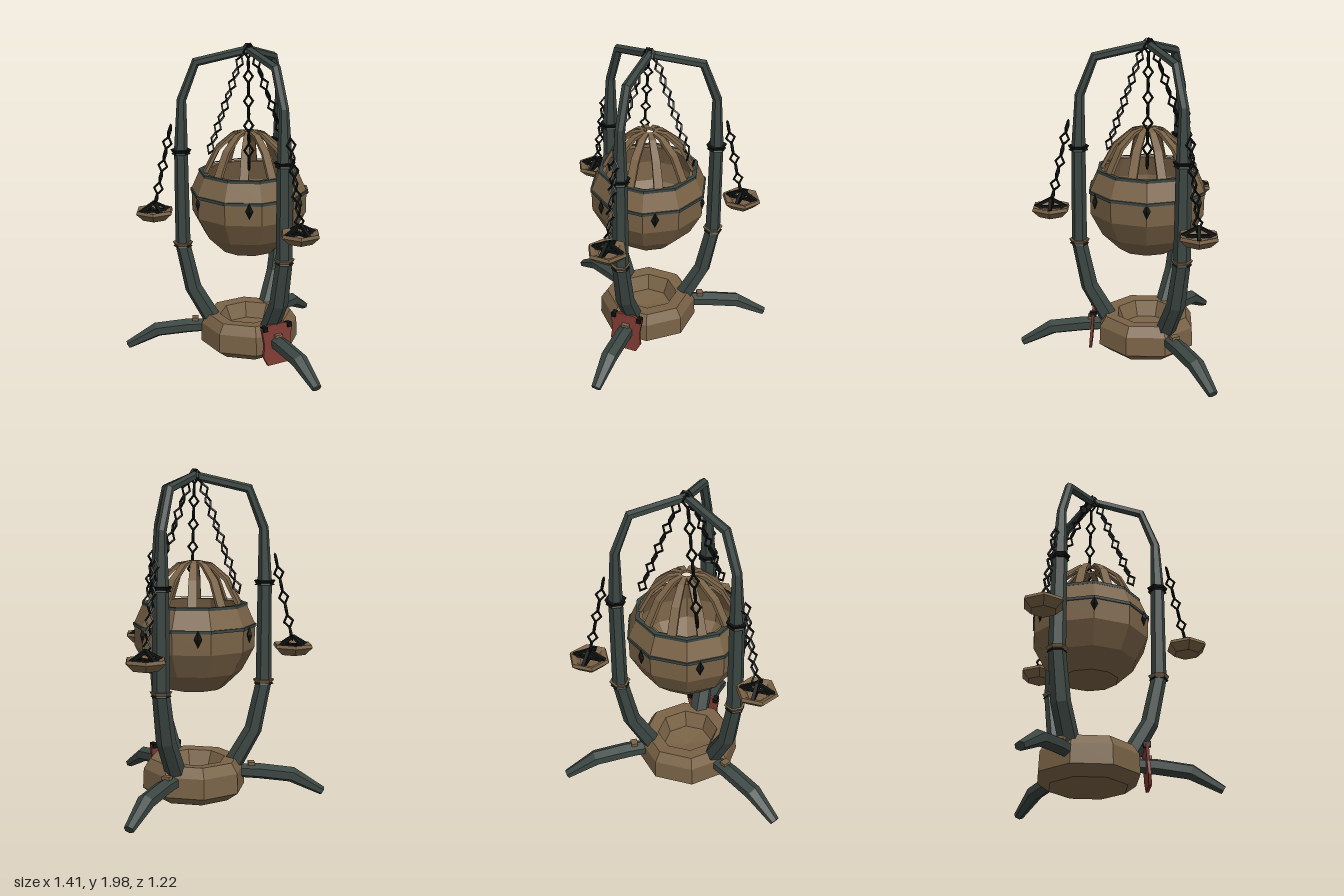
import * as THREE from 'three';
import { mergeGeometries } from 'three/addons/utils/BufferGeometryUtils.js';

const mat = (name, color) => {
  const m = new THREE.MeshStandardMaterial({ color, flatShading: true });
  m.name = name;
  return m;
};
const TAU = Math.PI * 2;
const deg = Math.PI / 180;
const THIRDS = [0, 120, 240];

// Sweeps a cross-section through stations [r, y, width, thickness] in the z-y plane
function loft(stations, sides = 6) {
  const pts = stations.map(([r, y]) => new THREE.Vector2(r, y));
  const turn = sides === 4 ? Math.PI / 4 : Math.PI / 2;
  const grow = sides === 4 ? Math.SQRT1_2 : 0.53;
  const pos = [];
  const idx = [];
  stations.forEach(([r, y, w, t], i) => {
    const tan = pts[Math.min(i + 1, pts.length - 1)].clone().sub(pts[Math.max(i - 1, 0)]).normalize();
    for (let k = 0; k < sides; k++) {
      const a = turn + k / sides * TAU;
      const n = Math.sin(a) * t * grow;
      pos.push(Math.cos(a) * w * grow, y + tan.x * n, r - tan.y * n);
    }
  });
  const last = (stations.length - 1) * sides;
  for (let i = 0; i < last; i += sides) {
    for (let k = 0; k < sides; k++) {
      const j = (k + 1) % sides;
      idx.push(i + k, i + j, i + sides + j, i + k, i + sides + j, i + sides + k);
    }
  }
  for (let k = 1; k < sides - 1; k++) idx.push(0, k + 1, k, last, last + k, last + k + 1);
  const g = new THREE.BufferGeometry();
  g.setAttribute('position', new THREE.Float32BufferAttribute(pos, 3));
  g.setIndex(idx);
  g.computeVertexNormals();
  return g;
}

const lathe = (profile, sides, phi = 0) =>
  new THREE.LatheGeometry(profile.map(([r, y]) => new THREE.Vector2(r, y)), sides, phi);

const band = (r, y, h, sides, phi) =>
  lathe([[r - 0.02, y - h], [r + 0.007, y - h], [r + 0.007, y + h], [r - 0.02, y + h]], sides, phi);

// Diamond links between two points, each turned a quarter from the last
function chain(from, to, count) {
  const dir = to.clone().sub(from);
  const pitch = dir.length() / count;
  const q = new THREE.Quaternion().setFromUnitVectors(new THREE.Vector3(0, 1, 0), dir.clone().normalize());
  const links = [];
  for (let i = 0; i < count; i++) {
    const g = new THREE.TorusGeometry(0.027, 0.008, 4, 4);
    g.scale(1, pitch * 0.6 / 0.031, 1);
    g.rotateY(i % 2 ? 95 * deg : 10 * deg);
    g.applyQuaternion(q);
    const p = from.clone().addScaledVector(dir, (i + 0.5) / count);
    links.push(g.translate(p.x, p.y, p.z));
  }
  return mergeGeometries(links);
}

export function createModel() {
  const wood = mat('brown bronze', 0x7a6347);
  const iron = mat('dark green iron', 0x3a4541);
  const black = mat('black iron', 0x0e1211);
  const red = mat('red plate', 0x7e3a33);

  const root = new THREE.Group();
  root.name = 'hangingBrazier';
  const rig = new THREE.Group();
  rig.name = 'rig';
  rig.position.z = -0.19;
  root.add(rig);

  const add = (name, geo, material, parent = rig) => {
    const m = new THREE.Mesh(geo, material);
    m.name = name;
    parent.add(m);
    return m;
  };
  const spoke = (name, angle) => {
    const g = new THREE.Group();
    g.name = name;
    g.rotation.y = angle * deg;
    rig.add(g);
    return g;
  };

  // Hollowed base
  add('base', lathe([[0, 0.02], [0.24, 0.025], [0.315, 0.08], [0.31, 0.2], [0.27, 0.26],
    [0.19, 0.255], [0.15, 0.16], [0, 0.14]], 8, 22.5 * deg), wood);

  // Three arms with collars and feet
  const armGeo = loft([[0.23, 0.2, 0.12, 0.11], [0.36, 0.43, 0.115, 0.1], [0.42, 0.72, 0.1, 0.09],
    [0.42, 1.34, 0.09, 0.08], [0.41, 1.65, 0.055, 0.055], [0.32, 1.88, 0.055, 0.055], [0, 1.955, 0.05, 0.05]]);
  const footGeo = loft([[0.27, 0.17, 0.09, 0.08], [0.4, 0.165, 0.1, 0.09],
    [0.6, 0.14, 0.1, 0.09], [0.79, 0.035, 0.06, 0.05]]);
  THIRDS.forEach(angle => {
    const g = spoke('armAssembly', angle);
    add('arm', armGeo, iron, g);
    add('foot', footGeo, iron, g);
    add('footClip', new THREE.BoxGeometry(0.05, 0.02, 0.04).translate(0, 0.215, 0.35), wood, g);
    [[1.33, black], [0.73, wood]].forEach(([y, m]) => {
      add('collar', new THREE.CylinderGeometry(0.065, 0.055, 0.018, 6).translate(0, y, 0.42), m, g);
      add('collarTrim', new THREE.CylinderGeometry(0.05, 0.06, 0.012, 6).translate(0, y - 0.014, 0.42), black, g);
    });
  });
  add('topRing', new THREE.TorusGeometry(0.03, 0.01, 4, 6).translate(0, 1.96, 0), black);
  add('topCap', new THREE.CylinderGeometry(0.03, 0.04, 0.03, 6).translate(0, 1.955, 0), iron);

  // Ten-sided fire bowl
  const phi = 18 * deg;
  add('bowl', lathe([[0, 0.69], [0.175, 0.695], [0.285, 0.8], [0.36, 0.94], [0.363, 1.08], [0.31, 1.2],
    [0.27, 1.2], [0.315, 1.07], [0.3, 0.94], [0.15, 0.76], [0, 0.75]], 10, phi), wood);
  add('bowlBand', band(0.363, 1.075, 0.009, 10, phi), iron);
  add('bowlRim', band(0.308, 1.2, 0.009, 10, phi), iron);
  add('bowlFloor', new THREE.CylinderGeometry(0.17, 0.15, 0.03, 10).translate(0, 0.8, 0), iron);
  for (let i = 0; i < 6; i++) {
    const g = spoke('bowlStud', 30 + i * 60);
    add('stud', new THREE.OctahedronGeometry(0.03).scale(0.8, 1.7, 0.6).translate(0, 1.035, 0.36), black, g);
  }

  // Cage ribs over the bowl
  const ribGeo = loft([[0.285, 1.19, 0.055, 0.02], [0.2, 1.35, 0.05, 0.02],
    [0.1, 1.435, 0.04, 0.018], [0.03, 1.45, 0.025, 0.015]].map(([r, y, w, t]) => [r, y, w, t]), 4);
  for (let i = 0; i < 10; i++) add('cageRib', ribGeo, wood, spoke('rib', i * 36));

  // Chains from the apex to the cage
  const bowlChain = chain(new THREE.Vector3(0, 1.98, 0.02), new THREE.Vector3(0, 1.28, 0.29), 10);
  THIRDS.forEach(a => add('bowlChain', bowlChain, black, spoke('chainSpoke', a + 90)));

  // Side dishes on chains
  const dishGeo = lathe([[0, 0.885], [0.08, 0.89], [0.127, 0.935], [0.12, 0.955],
    [0.09, 0.945], [0.06, 0.915], [0, 0.91]], 6, 30 * deg);
  const sideChain = chain(new THREE.Vector3(0, 1.49, 0.48), new THREE.Vector3(0, 0.98, 0.59), 7);
  const strutGeo = loft([[0.1, 0.945, 0.02, 0.018], [0, 1.0, 0.02, 0.018]], 4);
  THIRDS.forEach(a => {
    add('dishChain', sideChain, black, spoke('dishChainSpoke', a));
    const dish = new THREE.Group();
    dish.name = 'dish';
    dish.position.set(Math.sin(a * deg) * 0.595, 0, Math.cos(a * deg) * 0.595);
    rig.add(dish);
    add('dishBowl', dishGeo, wood, dish);
    for (let i = 0; i < 4; i++) add('dishStrut', strutGeo, black, dish).rotation.y = i * Math.PI / 2;
    for (let i = 0; i < 2; i++) {
      add('dishBar', new THREE.BoxGeometry(0.2, 0.016, 0.022).translate(0, 0.945, 0), black, dish).rotation.y = i * Math.PI / 2;
    }
  });

  // Red front plate with two studs
  const s = new THREE.Shape([[-0.075, 0.03], [0.075, 0.03], [0.105, 0.09], [0.095, 0.17], [0.11, 0.27],
    [0.05, 0.29], [-0.05, 0.29], [-0.11, 0.27], [-0.095, 0.17], [-0.105, 0.09]].map(p => new THREE.Vector2(...p)));
  const plate = new THREE.Group();
  plate.name = 'frontPlate';
  plate.position.z = 0.345;
  plate.rotation.x = -0.08;
  rig.add(plate);
  add('plate', new THREE.ExtrudeGeometry(s, { depth: 0.018, bevelEnabled: false }), red, plate);
  [-1, 1].forEach(k => add('plateStud', new THREE.BoxGeometry(0.03, 0.03, 0.045).translate(k * 0.088, 0.27, 0.009), black, plate));

  return root;
}
